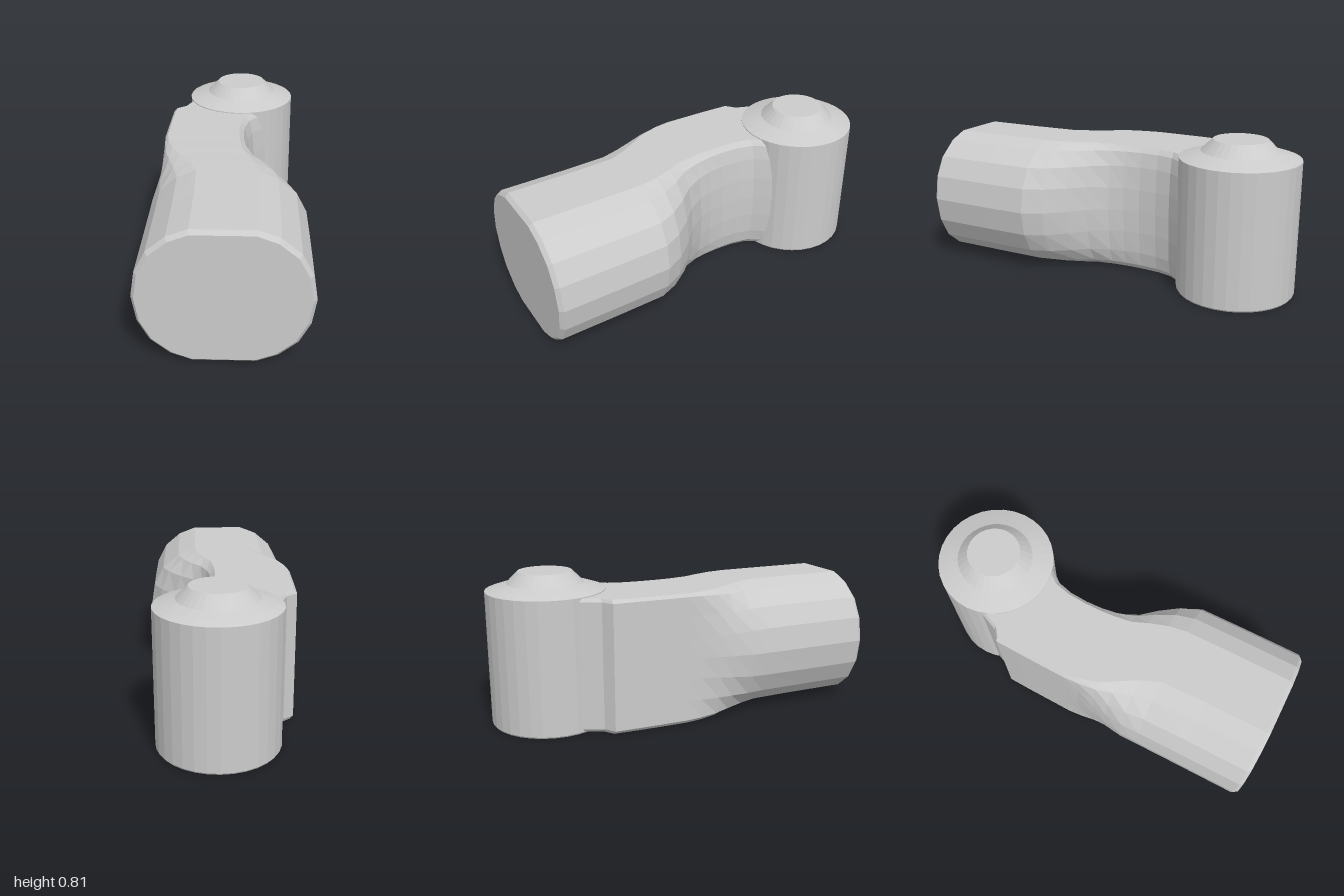
import * as THREE from 'three';

const material = new THREE.MeshStandardMaterial({ color: 0xcccccc, flatShading: true });

// Upper half of a side profile as [outward, up], from the flat top to mid height
const ROUND = [[0.36, 1], [0.6, 0.89], [0.82, 0.67], [0.95, 0.37], [1, 0]];
const BOXY = [[0.94, 1], [1, 0.95], [1, 0.65], [1, 0.3], [1, 0]];
const SOFT = [[0.78, 1], [0.88, 0.92], [0.95, 0.7], [0.99, 0.35], [1, 0]];

// Blend the round profile towards another one, mirrored to run top to bottom
function sideProfile(target, t) {
  const half = ROUND.map(([u, v], i) => [
    THREE.MathUtils.lerp(u, target[i][0], t),
    THREE.MathUtils.lerp(v, target[i][1], t),
  ]);
  return [...half, ...half.slice(0, -1).reverse().map(([u, v]) => [u, -v])];
}

// Lofted arm: a round front end that flows into a waisted, slab-sided neck
function armGeometry() {
  // z, left edge, right edge, half height, left squareness, right squareness
  const sections = [
    [1.0, -0.405, 0.4, 0.333, 0, 0],
    [0.98, -0.42, 0.418, 0.352, 0, 0],
    [0.65, -0.42, 0.418, 0.352, 0, 0],
    [0.4, -0.42, 0.415, 0.352, 0.03, 0],
    [0.3, -0.418, 0.365, 0.352, 0.15, 0.1],
    [0.2, -0.4, 0.28, 0.351, 0.4, 0.25],
    [0.12, -0.385, 0.195, 0.351, 0.65, 0.45],
    [0.02, -0.368, 0.13, 0.35, 0.9, 0.75],
    [-0.06, -0.364, 0.105, 0.35, 1, 0.9],
    [-0.15, -0.362, 0.093, 0.35, 1, 1],
    [-0.25, -0.36, 0.1, 0.35, 1, 1],
    [-0.34, -0.358, 0.125, 0.35, 1, 1],
    [-0.4, -0.356, 0.175, 0.35, 1, 1],
    [-0.43, -0.355, 0.2, 0.35, 1, 1],
    [-0.46, -0.354, 0.2, 0.35, 1, 1],
    [-0.5, -0.3, 0.2, 0.35, 1, 1],
    [-0.56, -0.275, 0.2, 0.35, 1, 1],
    [-0.64, -0.24, 0.2, 0.35, 1, 1],
  ];
  const midY = 0.355;
  const positions = [];
  const indices = [];
  let count = 0;
  for (const [z, xl, xr, h, tl, tr] of sections) {
    const cx = (xl + xr) / 2;
    const w = (xr - xl) / 2;
    const right = sideProfile(SOFT, tr).reverse().map(([u, v]) => [cx + u * w, midY + v * h]);
    const left = sideProfile(BOXY, tl).map(([u, v]) => [cx - u * w, midY + v * h]);
    const ring = [...right, ...left];
    count = ring.length;
    for (const [x, y] of ring) positions.push(x, y, z);
  }
  for (let i = 0; i < sections.length - 1; i++) {
    for (let j = 0; j < count; j++) {
      const a = i * count + j;
      const b = i * count + ((j + 1) % count);
      indices.push(a, a + count, b, b, a + count, b + count);
    }
  }
  // End caps
  const last = (sections.length - 1) * count;
  const centre = positions.length / 3;
  positions.push(0, midY, 1, 0, midY, sections[sections.length - 1][0]);
  for (let j = 0; j < count; j++) {
    const k = (j + 1) % count;
    indices.push(centre, j, k, centre + 1, last + k, last + j);
  }
  const geometry = new THREE.BufferGeometry();
  geometry.setAttribute('position', new THREE.Float32BufferAttribute(positions, 3));
  geometry.setIndex(indices);
  geometry.computeVertexNormals();
  return geometry;
}

function addPart(group, name, geometry, x = 0, z = 0) {
  const mesh = new THREE.Mesh(geometry, material);
  mesh.name = name;
  mesh.position.set(x, 0, z);
  group.add(mesh);
}

export function createModel() {
  const group = new THREE.Group();
  group.name = 'knuckleArm';

  addPart(group, 'arm', armGeometry());

  // Upright barrel at the back, closed below
  const barrel = [[0, 0], [0.305, 0], [0.31, 0.008], [0.31, 0.71]];
  // Raised boss on top of the barrel
  const boss = [[0.31, 0.71], [0.265, 0.725], [0.2, 0.745], [0.14, 0.805], [0, 0.805]];
  const lathe = (points, sides) =>
    new THREE.LatheGeometry(points.map(([r, y]) => new THREE.Vector2(r, y)), sides);
  addPart(group, 'barrel', lathe(barrel, 32), 0.04, -0.69);
  addPart(group, 'boss', lathe(boss, 32), 0.04, -0.69);

  return group;
}
